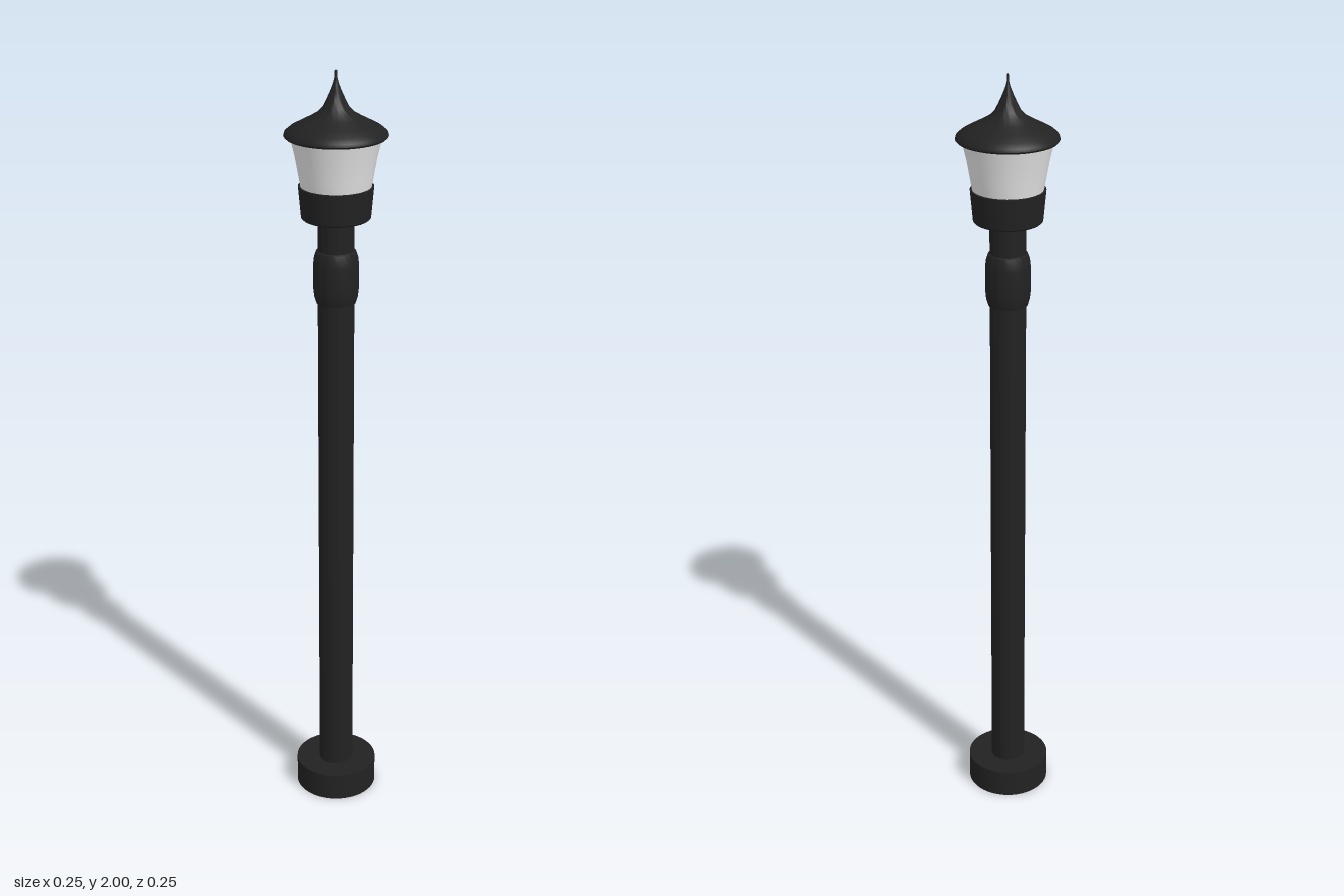
import * as THREE from 'three';
import { toCreasedNormals } from 'three/addons/utils/BufferGeometryUtils.js';

const blackMetal = new THREE.MeshStandardMaterial({ color: 0x222222 });
blackMetal.name = 'blackMetal';
const frostedGlass = new THREE.MeshStandardMaterial({ color: 0xe6e6e6 });
frostedGlass.name = 'frostedGlass';

// Turned part from a [radius, height] profile listed bottom to top
function turned(name, profile, material) {
  const points = profile.map(([r, y]) => new THREE.Vector2(r, y));
  const geometry = toCreasedNormals(new THREE.LatheGeometry(points, 48), 0.6);
  const mesh = new THREE.Mesh(geometry, material);
  mesh.name = name;
  return mesh;
}

export function createModel() {
  const lamp = new THREE.Group();
  lamp.name = 'lampPost';

  lamp.add(
    // Round foot and straight post
    turned('base', [[0, 0], [0.108, 0], [0.108, 0.075], [0, 0.075]], blackMetal),
    turned('post', [[0, 0.07], [0.046, 0.07], [0.046, 1.64], [0, 1.64]], blackMetal),
    // Collar with softly tapered ends
    turned('collar', [
      [0.045, 1.42], [0.05, 1.42], [0.055, 1.437], [0.057, 1.455], [0.057, 1.52],
      [0.055, 1.538], [0.05, 1.553], [0.045, 1.556],
    ], blackMetal),
    // Cup holding the lantern
    turned('lanternCup', [[0, 1.636], [0.082, 1.636], [0.086, 1.64], [0.093, 1.718], [0, 1.718]], blackMetal),
    // Flared glass
    turned('lanternGlass', [
      [0, 1.716], [0.087, 1.716], [0.093, 1.75], [0.1, 1.79], [0.112, 1.842], [0, 1.842],
    ], frostedGlass),
    // Bell-shaped roof drawn up into a spike
    turned('roof', [
      [0, 1.838], [0.122, 1.838], [0.127, 1.843], [0.125, 1.85], [0.112, 1.861],
      [0.09, 1.873], [0.065, 1.886], [0.045, 1.898], [0.032, 1.912], [0.023, 1.93],
      [0.014, 1.95], [0.007, 1.968], [0.004, 1.98], [0.003, 1.998], [0, 2],
    ], blackMetal),
  );
  return lamp;
}
